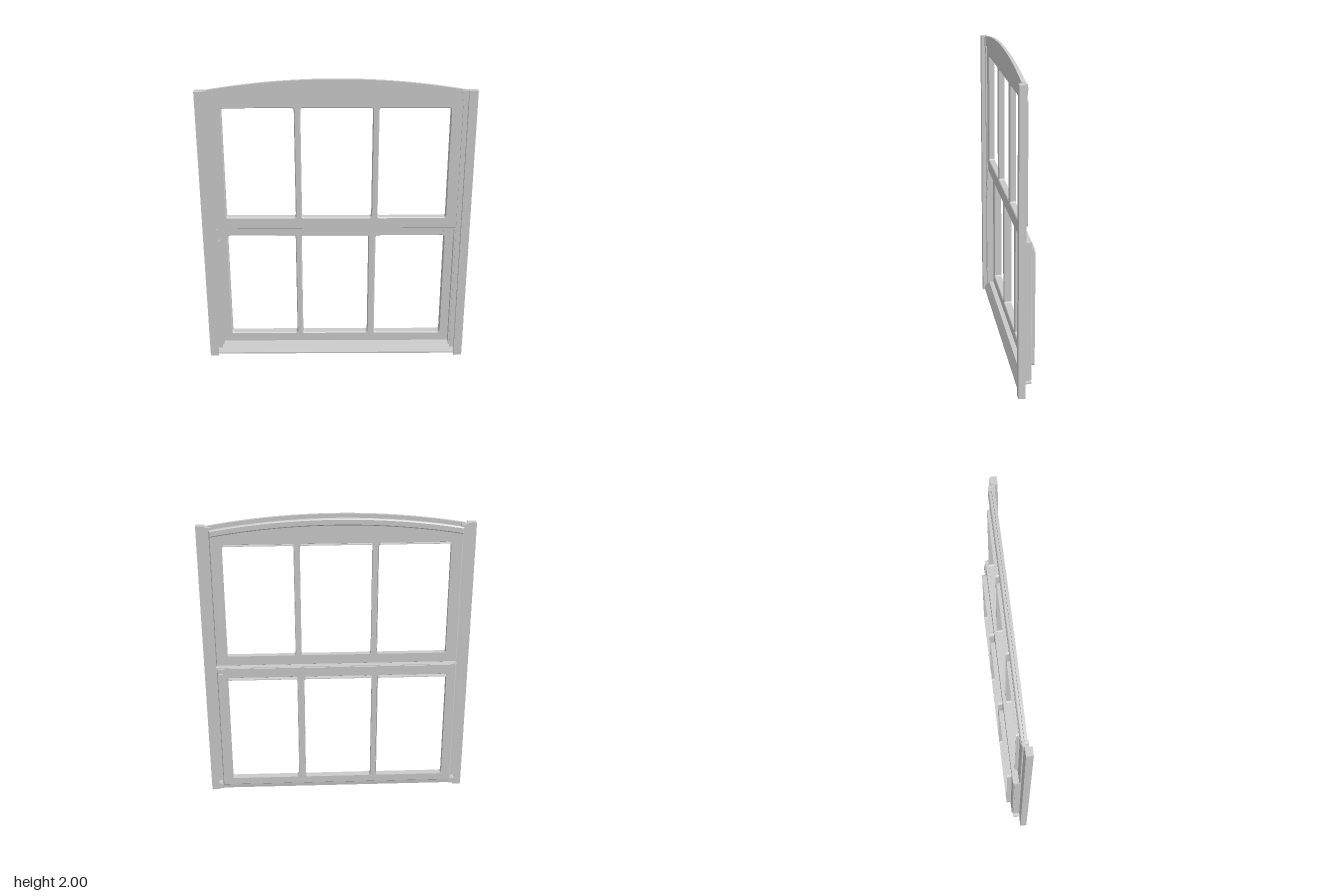
import * as THREE from 'three';

const material = new THREE.MeshStandardMaterial({ color: 0xcccccc, side: THREE.DoubleSide });

// Height drop of the segmental head arch at a given x
const archDrop = (x) => 4.606 - Math.sqrt(4.606 * 4.606 - x * x);

function add(parent, name, geometry) {
  const mesh = new THREE.Mesh(geometry, material);
  mesh.name = name;
  parent.add(mesh);
  return mesh;
}

// Box given by its two extreme corners
function block(parent, name, x0, x1, y0, y1, z0, z1) {
  const mesh = add(parent, name, new THREE.BoxGeometry(x1 - x0, y1 - y0, z1 - z0));
  mesh.position.set((x0 + x1) / 2, (y0 + y1) / 2, (z0 + z1) / 2);
}

const polygon = (points) => new THREE.Shape(points.map(([x, y]) => new THREE.Vector2(x, y)));

function roundedRect(path, x0, x1, y0, y1, r) {
  path.moveTo(x0 + r, y0);
  path.lineTo(x1 - r, y0);
  path.quadraticCurveTo(x1, y0, x1, y0 + r);
  path.lineTo(x1, y1 - r);
  path.quadraticCurveTo(x1, y1, x1 - r, y1);
  path.lineTo(x0 + r, y1);
  path.quadraticCurveTo(x0, y1, x0, y1 - r);
  path.lineTo(x0, y0 + r);
  path.quadraticCurveTo(x0, y0, x0 + r, y0);
  return path;
}

// Extrude between two depths; the bevel stays inside the outline
function slab(shape, z0, z1, bevel = 0) {
  const geometry = new THREE.ExtrudeGeometry(shape, {
    depth: z1 - z0 - 2 * bevel, curveSegments: 4, bevelEnabled: bevel > 0,
    bevelThickness: bevel, bevelSize: bevel, bevelOffset: -bevel, bevelSegments: 1,
  });
  return geometry.translate(0, 0, z0 + bevel);
}

// Shape with a straight or curved underside and an arched top
function archShape(halfWidth, top, bottomAt) {
  const points = [];
  const n = 32;
  for (let i = 0; i <= n; i++) {
    const x = halfWidth * (1 - 2 * i / n);
    points.push([x, top - archDrop(x)]);
  }
  for (let i = 0; i <= n; i++) {
    const x = halfWidth * (2 * i / n - 1);
    points.push([x, bottomAt(x)]);
  }
  return polygon(points);
}

// Sash: pierced frame plus a thin glazing lip behind each pane opening
function addSash(parent, name, outline, panes, y0, y1, zBack, zFront, lipBack) {
  const sash = new THREE.Group();
  sash.name = name;
  parent.add(sash);
  for (const [x0, x1] of panes) {
    outline.holes.push(roundedRect(new THREE.Path(), x0, x1, y0, y1, 0.014));
    const t = 0.004;
    const lip = roundedRect(new THREE.Shape(), x0 - t, x1 + t, y0 - t, y1 + t, 0.017);
    lip.holes.push(roundedRect(new THREE.Path(), x0, x1, y0, y1, 0.014));
    add(sash, 'glazingLip', slab(lip, lipBack, zBack + 0.01));
  }
  add(sash, 'sashFrame', slab(outline, zBack, zFront, 0.005));
}

export function createModel() {
  const model = new THREE.Group();
  model.name = 'archedSashWindow';

  // Outer posts and the inner channels the sashes run in
  for (const s of [-1, 1]) {
    const side = s < 0 ? 'right' : 'left';
    const jamb = (name, a, b, ...rest) =>
      block(model, side + name, Math.min(s * a, s * b), Math.max(s * a, s * b), ...rest);
    jamb('Post', 0.815, 0.87, 0, 1.93, 0.018, 0.061);
    jamb('Channel', 0.785, 0.82, 0.01, 1.9, 0.018, 0.034);
    jamb('Stop', 0.775, 0.79, 0.07, 0.97, -0.022, 0.03);
    jamb('HeadCap', 0.775, 0.815, 1.86, 1.925, 0.006, 0.043);
  }

  // Arched head: front band with a narrower rib behind
  const head = new THREE.Group();
  head.name = 'archedHead';
  model.add(head);
  add(head, 'headBand', slab(archShape(0.8, 2, (x) => 1.94 - archDrop(x) * 1.1), 0.02, 0.038));
  add(head, 'headRib', slab(archShape(0.79, 1.975, (x) => 1.93 - archDrop(x)), -0.002, 0.025, 0.007));

  // Upper sash with arched top rail
  addSash(model, 'upperSash', archShape(0.79, 1.955, () => 0.972),
    [[-0.713, -0.262], [-0.222, 0.23], [0.27, 0.713]], 1.052, 1.808, 0.006, 0.025, -0.016);

  // Lower sash, set further back
  const lowerOutline = polygon([[-0.785, 0.07], [0.785, 0.07], [0.785, 0.975], [-0.785, 0.975]]);
  addSash(model, 'lowerSash', lowerOutline,
    [[-0.718, -0.267], [-0.228, 0.215], [0.262, 0.715]], 0.143, 0.9, -0.034, -0.012, -0.064);

  // Meeting rail ledge joining both sashes
  block(model, 'meetingRail', -0.785, 0.785, 0.957, 0.976, -0.032, 0.022);

  // Sloping sill with a flat ledge under the lower sash
  const sillProfile = polygon([[-0.05, 0.01], [-0.05, 0.02], [-0.02, 0.076], [0.028, 0.078],
    [0.028, 0.068], [-0.016, 0.066], [-0.022, 0.01]]);
  const sill = add(model, 'sill', slab(sillProfile, -0.815, 0.815));
  sill.rotation.y = Math.PI / 2;

  // Small catches on the lower sash
  block(model, 'leftCatch', 0.71, 0.775, 0.9, 0.97, -0.014, 0.0);
  block(model, 'leftCatchTongue', 0.745, 0.775, 0.865, 0.935, -0.044, 0.0);
  block(model, 'rightCatch', -0.79, -0.77, 0.835, 0.88, -0.012, 0.034);

  return model;
}
